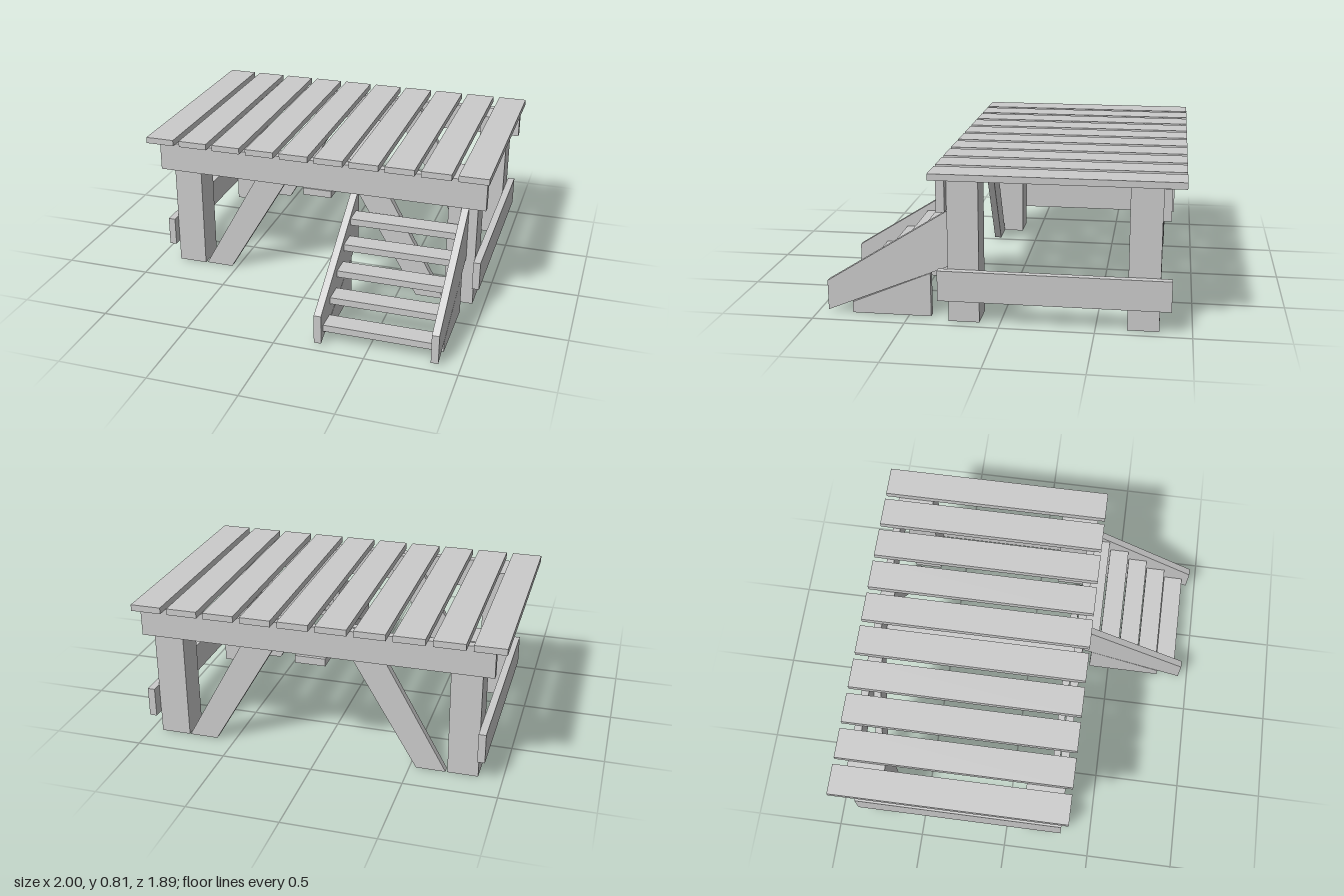
import * as THREE from 'three';

export function createModel() {
  const group = new THREE.Group();
  const material = new THREE.MeshStandardMaterial({ color: 0xcccccc, flatShading: true });

  function add(name, geometry) {
    const mesh = new THREE.Mesh(geometry, material);
    mesh.name = name;
    group.add(mesh);
    return mesh;
  }

  // Box given by its extents along each axis
  function board(name, [x0, x1], [y0, y1], [z0, z1]) {
    add(name, new THREE.BoxGeometry(x1 - x0, y1 - y0, z1 - z0))
      .position.set((x0 + x1) / 2, (y0 + y1) / 2, (z0 + z1) / 2);
  }

  function extrude(points, depth) {
    const shape = new THREE.Shape(points.map(([a, b]) => new THREE.Vector2(a, b)));
    return new THREE.ExtrudeGeometry(shape, { depth, bevelEnabled: false });
  }

  // Deck planks
  const plankWidth = 0.167;
  const plankCount = 10;
  for (let i = 0; i < plankCount; i++) {
    const x = -1 + i * (2 - plankWidth) / (plankCount - 1);
    board('deckPlank', [x, x + plankWidth], [0.78, 0.815], [-0.945, 0.36]);
  }

  // Legs
  for (const x of [[-0.87, -0.705], [0.77, 0.935]])
    for (const z of [[0.11, 0.275], [-0.83, -0.665]])
      board('leg', x, [0, 0.78], z);

  // Long beams under the front and back edges
  board('frontBeam', [-0.935, 0.985], [0.61, 0.78], [0.275, 0.32]);
  board('backBeam', [-0.935, 0.985], [0.61, 0.775], [-0.872, -0.83]);

  // Low side rails and the middle cross board
  board('rightRail', [-0.91, -0.87], [0.125, 0.29], [-0.89, 0.325]);
  board('leftRail', [0.935, 0.975], [0.125, 0.29], [-0.89, 0.325]);
  board('crossBoard', [-0.055, 0.11], [0.568, 0.609], [-0.89, 0.325]);

  // Slanted braces behind the beams, mirrored about the deck frame's middle
  const frameMiddle = 0.035;
  const bracePoints = [[-0.695, 0], [-0.535, 0], [-0.075, 0.78], [-0.262, 0.78]];
  const mirrored = bracePoints.map(([x, y]) => [2 * frameMiddle - x, y]);
  for (const points of [bracePoints, mirrored])
    for (const z of [0.23, -0.83])
      add('brace', extrude(points, 0.04)).position.z = z;

  // Stair sides: slanted stringer and the wedge it rests on (profiles in z, y)
  const stringer = [[0.945, 0.01], [0.945, 0.175], [0.275, 0.595], [0.24, 0.61], [0.24, 0.303]];
  const wedge = [[0.81, 0], [0.81, 0.06], [0.38, 0.243], [0.38, 0]];
  for (const x of [0.21, 0.845])
    for (const [name, profile] of [['stairStringer', stringer], ['stairWedge', wedge]]) {
      const mesh = add(name, extrude(profile.map(([z, y]) => [-z, y]), 0.04));
      mesh.rotation.y = Math.PI / 2;
      mesh.position.x = x;
    }

  // Stair treads
  for (let i = 0; i < 5; i++) {
    const y = 0.064 + i * 0.099;
    const z = 0.793 - i * 0.124;
    board('stairTread', [0.25, 0.845], [y, y + 0.038], [z, z + 0.113]);
  }

  return group;
}
